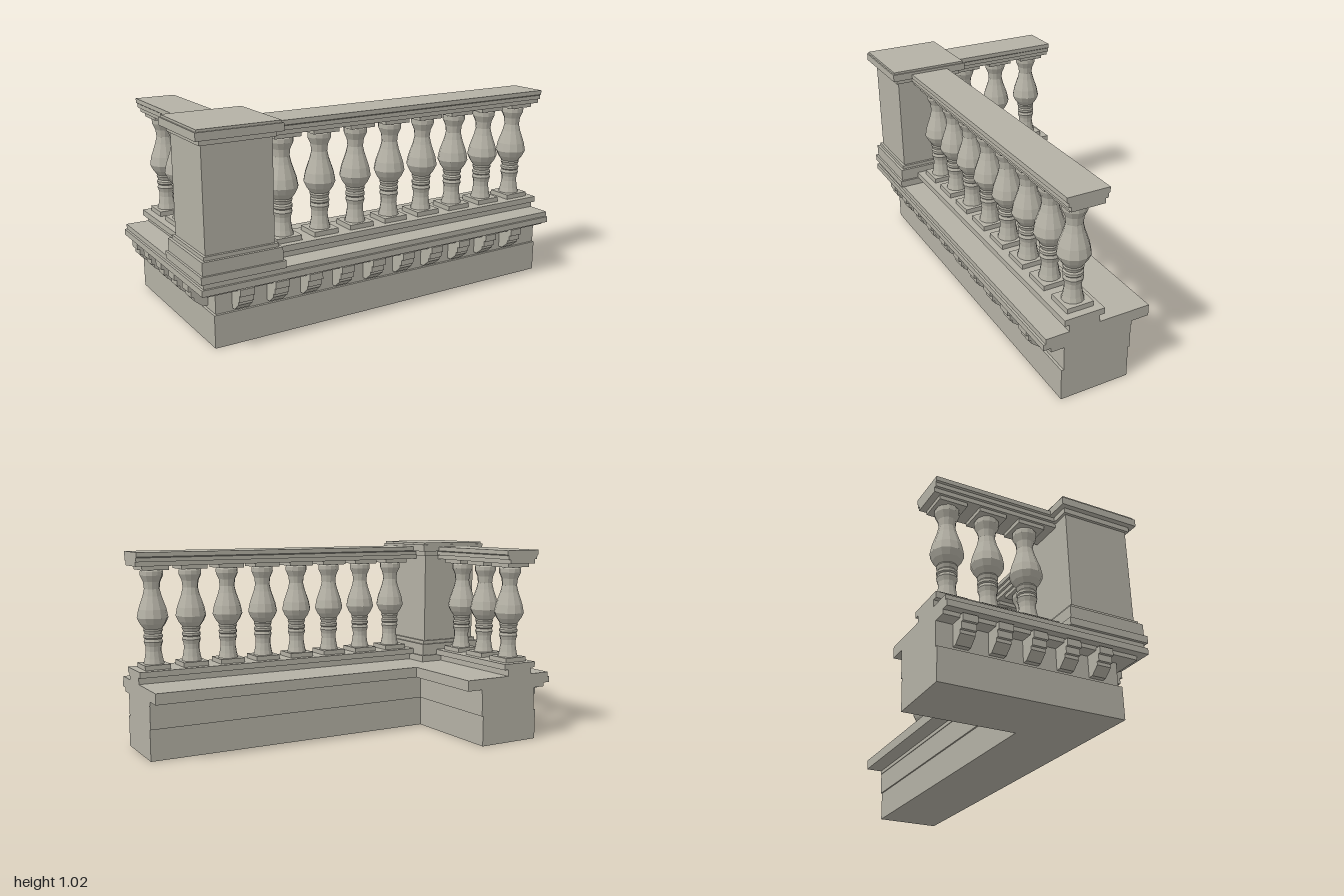
import * as THREE from 'three';

const stone = new THREE.MeshStandardMaterial({ color: 0xb4b1a5 });
stone.name = 'stone';

const END = 0.497;            // half depth of the whole corner
const SHIFT = 0.503;          // side wing: x = -(d + SHIFT), front wing: z = d
const MID = 0.293;            // centre line of the rails and balusters

function add(parent, geometry, name, x = 0, y = 0, z = 0) {
  const mesh = new THREE.Mesh(geometry, stone);
  mesh.name = name;
  mesh.position.set(x, y, z);
  parent.add(mesh);
  return mesh;
}

const shapeOf = (points) => new THREE.Shape(points.map(([x, y]) => new THREE.Vector2(x, y)));

// Sweeps a (d, y) section along the front wing, round the mitred corner and down the side wing
function sweepCorner(points) {
  const g = new THREE.ExtrudeGeometry(shapeOf(points), { depth: 2, steps: 2, bevelEnabled: false });
  const p = g.attributes.position;
  for (let i = 0; i < p.count; i++) {
    const d = p.getX(i), y = p.getY(i), station = Math.round(p.getZ(i));
    p.setXYZ(i, station === 0 ? 1 : -(d + SHIFT), y, station === 2 ? -END : d);
  }
  g.computeVertexNormals();
  return g;
}

// Section symmetric about the rail centre, from [halfWidth, y] listed bottom to top
function symmetric(half) {
  return [
    ...half.map(([w, y]) => [MID + w, y]),
    ...half.slice().reverse().map(([w, y]) => [MID - w, y]),
  ];
}

// Turned baluster between two square blocks
const turned = [
  [0.050, 0.437], [0.044, 0.462], [0.038, 0.500], [0.039, 0.525], [0.046, 0.547],
  [0.041, 0.562], [0.046, 0.568], [0.046, 0.580], [0.040, 0.588], [0.047, 0.605],
  [0.044, 0.612], [0.062, 0.638], [0.075, 0.667], [0.067, 0.710], [0.045, 0.775],
  [0.037, 0.810], [0.041, 0.845], [0.055, 0.877], [0.055, 0.897], [0.050, 0.905],
].map(([r, y]) => new THREE.Vector2(r * 1.03, y));
const turnedGeometry = new THREE.LatheGeometry(turned, 12, Math.PI / 12).toNonIndexed();
turnedGeometry.computeVertexNormals();
const footGeometry = new THREE.BoxGeometry(0.132, 0.024, 0.132);
const headGeometry = new THREE.BoxGeometry(0.136, 0.021, 0.136);

function baluster(x, z) {
  const g = new THREE.Group();
  g.name = 'baluster';
  add(g, footGeometry, 'balusterFoot', 0, 0.425, 0);
  add(g, turnedGeometry, 'balusterShaft');
  add(g, headGeometry, 'balusterHead', 0, 0.9155, 0);
  g.position.set(x, 0, z);
  return g;
}

// Stepped bracket under the cornice
const bracketGeometry = new THREE.ExtrudeGeometry(shapeOf([
  [0.385, 0.172], [0.417, 0.172], [0.458, 0.206], [0.458, 0.222], [0.471, 0.222],
  [0.471, 0.253], [0.484, 0.253], [0.484, 0.286], [0.385, 0.286],
]), { depth: 0.07, bevelEnabled: false }).translate(0, 0, -0.035);

export function createModel() {
  const model = new THREE.Group();
  model.name = 'cornerBalustrade';

  // Base wall with cornice, wrapped round the corner
  add(model, sweepCorner([
    [0.06, 0], [0.405, 0], [0.405, 0.157], [0.393, 0.157], [0.393, 0.275],
    [0.458, 0.275], [0.458, 0.295], [0.495, 0.295], [0.495, 0.325], [0.484, 0.325],
    [0.484, 0.35], [-0.04, 0.35], [-0.04, 0.295], [0.048, 0.295], [0.048, 0.275],
    [0.052, 0.275], [0.052, 0.157], [0.06, 0.157],
  ]), 'baseWall');

  // Plinth under the balusters and handrail above them
  add(model, sweepCorner(symmetric([
    [0.076, 0.35], [0.076, 0.383], [0.1, 0.383], [0.1, 0.413],
  ])), 'plinth');
  add(model, sweepCorner(symmetric([
    [0.08, 0.925], [0.08, 0.947], [0.093, 0.947], [0.093, 0.967],
    [0.101, 0.972], [0.101, 0.994],
  ])), 'handrail');

  // Corner pedestal: [name, width, bottom, top]
  const pedestal = new THREE.Group();
  pedestal.name = 'pedestal';
  [
    ['pedestalFoot', 0.408, 0.35, 0.385],
    ['pedestalBase', 0.387, 0.385, 0.447],
    ['pedestalBaseMoulding', 0.359, 0.447, 0.465],
    ['pedestalShaft', 0.333, 0.465, 0.945],
    ['pedestalCapMoulding', 0.359, 0.945, 0.97],
    ['pedestalCap', 0.408, 0.97, 1.007],
    ['pedestalTop', 0.394, 1.007, 1.018],
  ].forEach(([name, w, y0, y1]) =>
    add(pedestal, new THREE.BoxGeometry(w, y1 - y0, w), name, 0, (y0 + y1) / 2, 0));
  pedestal.position.set(-(MID + SHIFT), 0, MID);
  model.add(pedestal);

  // Balusters along both wings
  for (let i = 0; i < 8; i++) model.add(baluster(-0.5 + i * 0.1995, MID));
  for (let i = 0; i < 3; i++) model.add(baluster(-(MID + SHIFT), 0.004 - i * 0.2005));

  // Brackets along both wings
  for (let i = 0; i < 10; i++) {
    add(model, bracketGeometry, 'frontBracket', -0.78 + i * 0.1745, 0, 0).rotation.y = -Math.PI / 2;
  }
  for (let i = 0; i < 5; i++) {
    add(model, bracketGeometry, 'sideBracket', -SHIFT, 0, 0.275 - i * 0.165).rotation.y = Math.PI;
  }
  return model;
}
